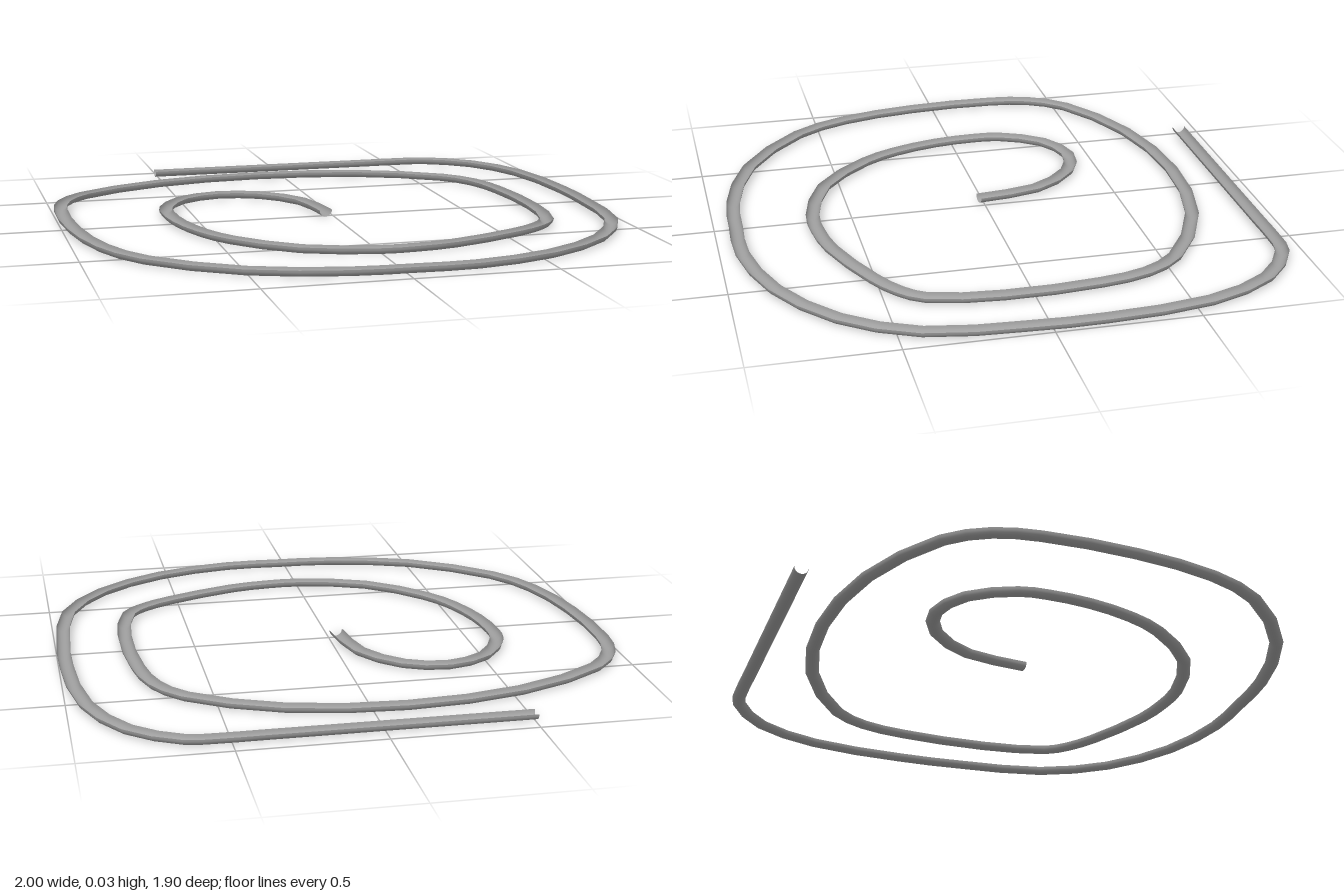
import * as THREE from 'three';

// Centre line of the channel as [x, z], from the inner end outwards
const PATH = [
  [-0.03, 0.01], [-0.07, -0.22], [-0.195, -0.375], [-0.35, -0.42], [-0.50, -0.355], [-0.59, -0.20],
  [-0.60, -0.10], [-0.585, 0.06], [-0.535, 0.23], [-0.46, 0.365], [-0.26, 0.555], [-0.01, 0.635],
  [0.12, 0.635], [0.27, 0.61], [0.53, 0.505], [0.64, 0.435], [0.705, 0.355], [0.745, 0.10],
  [0.73, -0.24], [0.69, -0.415], [0.60, -0.545], [0.285, -0.715], [-0.12, -0.77], [-0.53, -0.71],
  [-0.85, -0.545], [-0.945, -0.41], [-0.975, -0.255], [-0.965, 0.08], [-0.905, 0.375], [-0.795, 0.58],
  [-0.505, 0.81], [-0.185, 0.905], [0.03, 0.917], [0.245, 0.917], [0.53, 0.84], [0.78, 0.665],
  [0.93, 0.415], [0.97, 0.08], [0.975, -0.19], [0.935, -0.56], [0.82, -0.80], [0.65, -0.92],
  [0.54, -0.932], [0.40, -0.932], [-0.51, -0.932],
];
const RADIUS = 0.025;
const SIDES = 10;

// Sweep an open half-round section along the path
function channelGeometry() {
  const curve = new THREE.CatmullRomCurve3(PATH.map(([x, z]) => new THREE.Vector3(x, 0, z + 0.007)), false, 'centripetal');
  const steps = (PATH.length - 1) * 2;
  const positions = [];
  const index = [];
  const row = SIDES + 1;
  for (let i = 0; i <= steps; i++) {
    const p = curve.getPoint(i / steps);
    const t = curve.getTangent(i / steps);
    for (let j = 0; j <= SIDES; j++) {
      const a = (j / SIDES) * Math.PI;
      const w = RADIUS * Math.cos(a);
      positions.push(p.x + t.z * w, RADIUS * (1 - Math.sin(a)), p.z - t.x * w);
      if (i < steps && j < SIDES) {
        const k = i * row + j;
        index.push(k, k + row, k + 1, k + 1, k + row, k + row + 1);
      }
    }
  }
  const geometry = new THREE.BufferGeometry();
  geometry.setAttribute('position', new THREE.Float32BufferAttribute(positions, 3));
  geometry.setIndex(index);
  geometry.computeVertexNormals();
  return geometry;
}

export function createModel() {
  const group = new THREE.Group();
  group.name = 'spiralChannel';
  const grey = new THREE.MeshStandardMaterial({ color: 0xa0a0a0, side: THREE.DoubleSide });
  grey.name = 'grey';
  const channel = new THREE.Mesh(channelGeometry(), grey);
  channel.name = 'halfRoundChannel';
  group.add(channel);
  return group;
}
